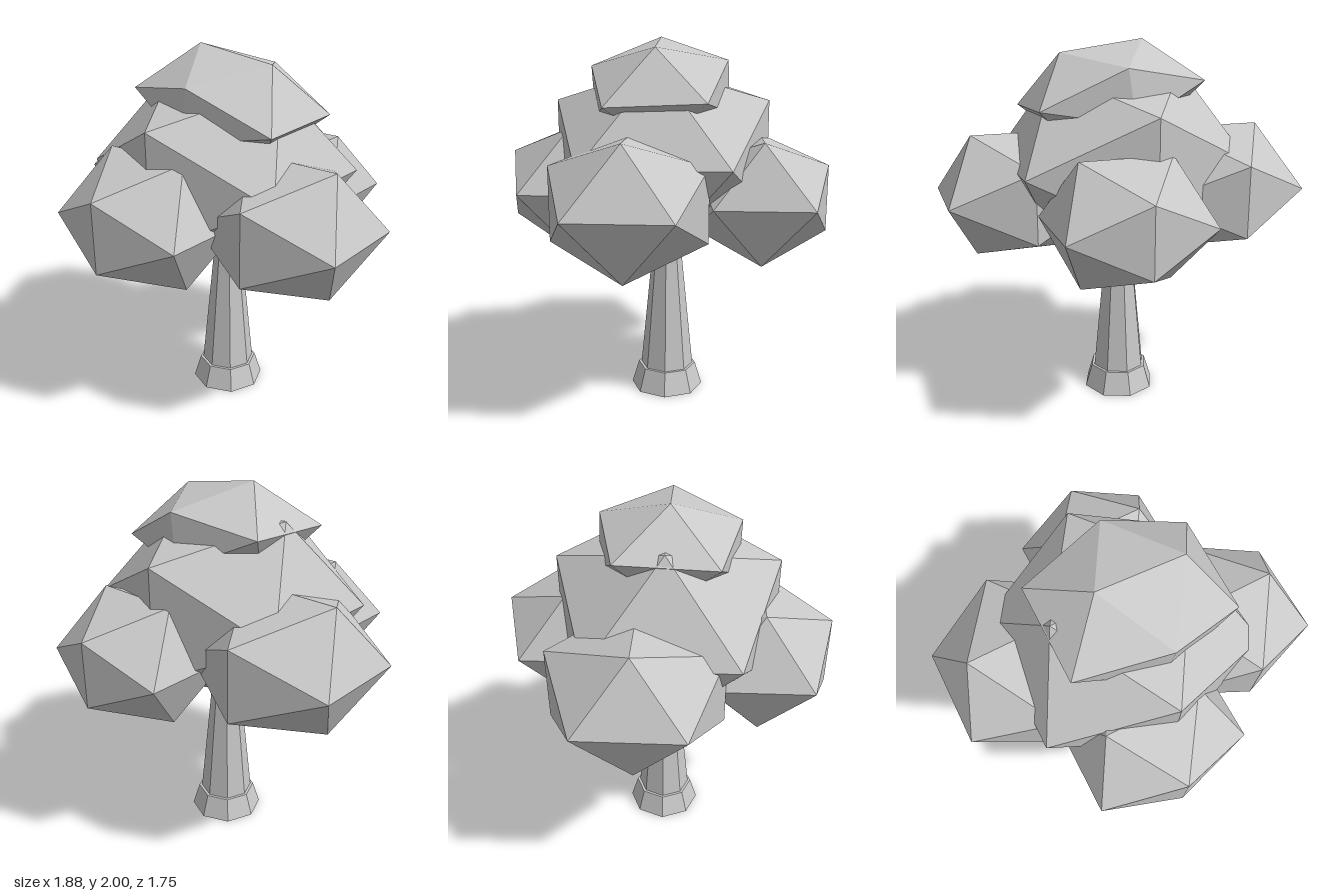
import * as THREE from 'three';

// An icosahedron is three crossed rectangles; each gets its own half-sizes:
// mids (x, z) lie level, tips (y, z) point front and back, tops (x, y) form the upper and lower ridges.
function clumpGeometry(mids, tips, tops) {
  const geometry = new THREE.IcosahedronGeometry(1, 0);
  const p = geometry.attributes.position;
  const sign = (v) => (Math.abs(v) < 0.1 ? 0 : Math.sign(v));
  for (let i = 0; i < p.count; i++) {
    const x = sign(p.getX(i)), y = sign(p.getY(i)), z = sign(p.getZ(i));
    if (y === 0) p.setXYZ(i, x * mids[0], 0, z * mids[1]);
    else if (x === 0) p.setXYZ(i, 0, y * tips[0], z * tips[1]);
    else p.setXYZ(i, x * tops[0], y * tops[1], 0);
  }
  geometry.computeVertexNormals();
  return geometry;
}

export function createModel() {
  const tree = new THREE.Group();
  tree.name = 'tree';
  const grey = new THREE.MeshStandardMaterial({ color: 0xc8c8c8, flatShading: true });
  grey.name = 'lightGrey';

  function add(name, geometry, x, y, z) {
    const mesh = new THREE.Mesh(geometry, grey);
    mesh.name = name;
    mesh.position.set(x, y, z);
    tree.add(mesh);
    return mesh;
  }

  // Octagonal trunk on a flared foot
  add('trunkFoot', new THREE.CylinderGeometry(0.165, 0.205, 0.13, 8), 0, 0.065, -0.01);
  add('trunk', new THREE.CylinderGeometry(0.079, 0.15, 0.72, 8), 0, 0.485, -0.01);

  // Foliage clumps: name, centre, mids, tips, tops
  const clumps = [
    ['centreFoliage', [-0.01, 1.36, 0.015], [0.61, 0.375], [0.3, 0.58], [0.36, 0.475]],
    ['frontFoliage', [-0.1, 1.18, 0.505], [0.415, 0.255], [0.186, 0.37], [0.25, 0.335]],
    ['leftFoliage', [0.52, 1.18, 0.145], [0.42, 0.255], [0.19, 0.395], [0.255, 0.33]],
    ['rightFoliage', [-0.51, 1.2, -0.12], [0.435, 0.265], [0.19, 0.44], [0.27, 0.337]],
    ['backFoliage', [0.14, 1.155, -0.52], [0.38, 0.25], [0.177, 0.355], [0.24, 0.317]],
    ['topFoliage', [0.045, 1.72, 0.02], [0.45, 0.255], [0.14, 0.365], [0.232, 0.25]],
  ];
  for (const [name, centre, mids, tips, tops] of clumps) {
    const clump = add(name, clumpGeometry(mids, tips, tops), ...centre);
    // The crown leans towards its left
    if (name === 'topFoliage') clump.rotation.set(0.04, 0, -0.14);
  }
  return tree;
}
